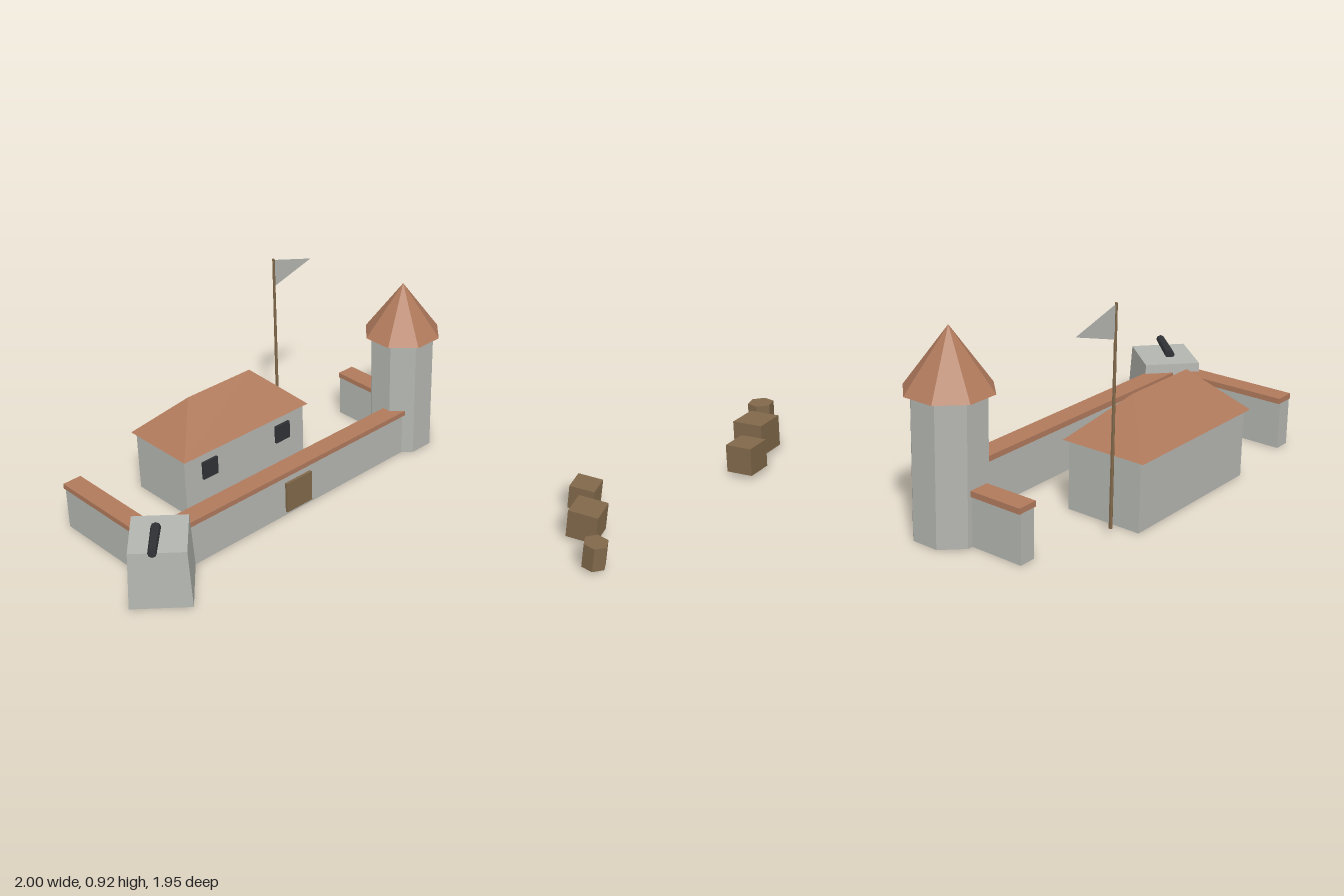
import * as THREE from 'three';

const mat = (name, color) => {
  const m = new THREE.MeshStandardMaterial({ color, flatShading: true });
  m.name = name;
  return m;
};

export function createModel() {
  const root = new THREE.Group();
  root.name = 'fort';
  const stone = mat('pale stone', 0xb4b6b0);
  const tile = mat('terracotta tile', 0xb07a5c);
  const wood = mat('brown wood', 0x80684a);
  const iron = mat('dark iron', 0x303236);
  const cloth = mat('flag cloth', 0xb4b6b0);
  cloth.side = THREE.DoubleSide;

  const add = (name, geometry, material, x, y, z, ry = 0, parent = root) => {
    const mesh = new THREE.Mesh(geometry, material);
    mesh.name = name;
    mesh.position.set(x, y, z);
    mesh.rotation.y = ry;
    parent.add(mesh);
    return mesh;
  };
  const box = (w, h, d) => new THREE.BoxGeometry(w, h, d);

  // Box standing on y = 0 whose top is scaled by sx, sz
  const taperedBox = (w, h, d, sx, sz) => {
    const g = box(w, h, d).translate(0, h / 2, 0);
    const p = g.attributes.position;
    for (let i = 0; i < p.count; i++) {
      if (p.getY(i) > h / 2) p.setXYZ(i, p.getX(i) * sx, h, p.getZ(i) * sz);
    }
    g.computeVertexNormals();
    return g;
  };

  // Curtain walls with tiled coping: [name, x0, x1, z0, z1] along their centre lines
  const walls = [
    ['frontWall', -0.75, 0.75, -0.345, -0.345],
    ['leftWall', 0.783, 0.783, -0.788, -0.4],
    ['rightWall', -0.783, -0.783, -0.925, -0.345],
  ];
  for (const [name, x0, x1, z0, z1] of walls) {
    const group = new THREE.Group();
    group.name = name;
    group.position.set((x0 + x1) / 2, 0, (z0 + z1) / 2);
    root.add(group);
    const lx = x1 - x0, lz = z1 - z0;
    add(name + 'Body', box(lx || 0.074, 0.206, lz || 0.074), stone, 0, 0.103, 0, 0, group);
    add(name + 'Coping', box(lx || 0.092, 0.024, lz || 0.092), tile, 0, 0.218, 0, 0, group);
  }
  add('gate', box(0.153, 0.152, 0.014), wood, 0, 0.096, -0.302);

  // Octagonal tower, flat side to the front
  const eighth = Math.PI / 8;
  add('towerBody', new THREE.CylinderGeometry(0.154, 0.154, 0.585, 8), stone, 0.785, 0.2925, -0.411, eighth);
  add('towerRoof', new THREE.ConeGeometry(0.183, 0.25, 8), tile, 0.784, 0.706, -0.411, eighth);

  // Sloped corner bastion with cannon
  add('bastion', taperedBox(0.268, 0.27, 0.298, 0.91, 0.91), stone, -0.806, 0, -0.285, -0.72);
  const from = new THREE.Vector3(-0.79, 0.28, -0.322);
  const to = new THREE.Vector3(-0.929, 0.289, -0.172);
  const axis = to.clone().sub(from);
  const mid = from.clone().add(to).multiplyScalar(0.5);
  const cannon = add('cannon', new THREE.CylinderGeometry(0.019, 0.022, axis.length(), 8), iron, mid.x, mid.y, mid.z);
  cannon.quaternion.setFromUnitVectors(new THREE.Vector3(0, 1, 0), axis.normalize());

  // Barracks with hipped roof and two windows
  add('houseBody', box(0.722, 0.29, 0.338), stone, -0.033, 0.145, -0.788);
  add('houseRoof', taperedBox(0.75, 0.183, 0.379, 0.49, 0), tile, -0.033, 0.292, -0.788);
  for (const x of [-0.253, 0.19]) {
    add('window', box(0.086, 0.088, 0.014), iron, x, 0.196, -0.614);
  }

  // Flagpole and pennant
  add('flagpole', new THREE.CylinderGeometry(0.006, 0.008, 0.89, 6), wood, 0.409, 0.475, -0.885);
  const pennant = new THREE.Shape([
    new THREE.Vector2(0, -0.068),
    new THREE.Vector2(0.236, 0),
    new THREE.Vector2(0, 0.068),
  ]);
  add('flag', new THREE.ShapeGeometry(pennant), cloth, 0.409, 0.848, -0.885);

  // Loose cargo in front of the gate
  add('largeCrate', box(0.138, 0.136, 0.138), wood, 0.75, 0.088, 0.749, 0.3);
  add('smallCrate', box(0.118, 0.118, 0.118), wood, 0.922, 0.079, 0.61, 0.3);
  add('barrel', new THREE.CylinderGeometry(0.057, 0.057, 0.118, 6), wood, 0.58, 0.079, 0.919);

  return root;
}
